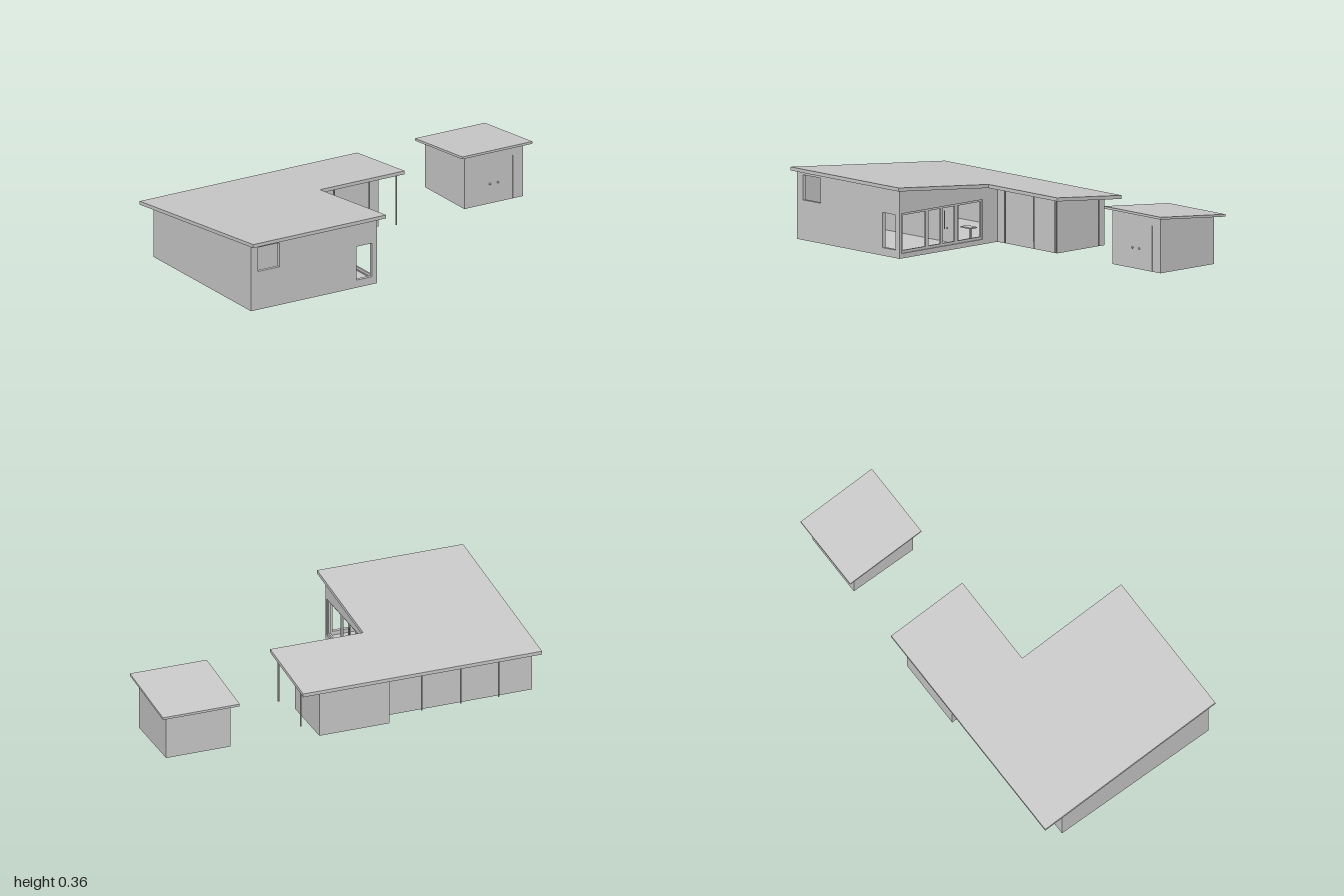
import * as THREE from 'three';

const mat = new THREE.MeshStandardMaterial({ color: 0xcccccc, side: THREE.DoubleSide });

// Roof underside heights as a function of z
const houseTop = z => 0.294 + 0.1 * z;
const shedTop = z => 0.304 + 0.094 * z;

function add(parent, name, geometry) {
  geometry.computeVertexNormals();
  const mesh = new THREE.Mesh(geometry, mat);
  mesh.name = name;
  parent.add(mesh);
  return mesh;
}

// Axis-aligned box given by its limits; top may be a number or a function of z
function block(parent, name, x0, x1, y0, top, z0, z1) {
  const g = new THREE.BoxGeometry(x1 - x0, 1, z1 - z0);
  g.translate((x0 + x1) / 2, 0.5, (z0 + z1) / 2);
  const p = g.attributes.position;
  for (let i = 0; i < p.count; i++) {
    const t = typeof top === 'function' ? top(p.getZ(i)) : top;
    p.setY(i, p.getY(i) > 0.5 ? t : y0);
  }
  return add(parent, name, g);
}

function polygon(points) {
  return new THREE.Shape(points.map(([x, y]) => new THREE.Vector2(x, y)));
}

function rectHole(x0, x1, y0, y1) {
  return polygon([[x0, y0], [x0, y1], [x1, y1], [x1, y0]]);
}

// Plan outline (x, z) extruded upward, then sheared to the roof pitch
function slab(parent, name, plan, base, thickness, slope) {
  const g = new THREE.ExtrudeGeometry(polygon(plan.map(([x, z]) => [x, -z])),
    { depth: thickness, bevelEnabled: false });
  g.rotateX(-Math.PI / 2);
  const p = g.attributes.position;
  for (let i = 0; i < p.count; i++) p.setY(i, p.getY(i) + base + slope * p.getZ(i));
  return add(parent, name, g);
}

// Wall in the z-y plane; shape x runs along -z
function sideWall(parent, name, shape, holes, x, depth) {
  shape.holes.push(...holes.map(([z0, z1, y0, y1]) => rectHole(-z1, -z0, y0, y1)));
  const g = new THREE.ExtrudeGeometry(shape, { depth, bevelEnabled: false });
  g.rotateY(Math.PI / 2);
  g.translate(x, 0, 0);
  return add(parent, name, g);
}

function post(parent, x, z, topFn) {
  const top = topFn(z), g = new THREE.CylinderGeometry(0.004, 0.004, top - 0.02, 8);
  g.translate(x, (top + 0.02) / 2, z);
  add(parent, 'post', g);
}

function knob(parent, x, y, z) {
  add(parent, 'doorKnob', new THREE.SphereGeometry(0.005, 10, 8).translate(x, y, z));
}

function buildHouse() {
  const house = new THREE.Group();
  house.name = 'house';

  // L-shaped roof
  slab(house, 'roof', [[-1, 0.52], [-0.23, 0.52], [-0.23, -0.085], [0.26, -0.085],
    [0.26, -0.52], [-1, -0.52]], 0.292, 0.018, 0.1);

  // Floor and plain walls
  block(house, 'floor', -0.988, -0.262, 0, 0.02, -0.408, 0.483);
  block(house, 'leftOuterWall', -0.99, -0.972, 0, houseTop, -0.41, 0.485);
  block(house, 'backWall', -0.972, -0.2, 0, houseTop, -0.41, -0.392);
  block(house, 'wing', -0.205, 0.165, 0, houseTop, -0.495, -0.175);
  block(house, 'wingLink', -0.262, -0.205, 0, houseTop, -0.392, -0.175);

  // Front wall with a high window and a low window
  const front = polygon([[-0.972, 0], [-0.278, 0], [-0.278, 0.341], [-0.972, 0.341]]);
  front.holes.push(rectHole(-0.95, -0.825, 0.2, 0.325), rectHole(-0.38, -0.29, 0.04, 0.215));
  add(house, 'frontWall', new THREE.ExtrudeGeometry(front, { depth: 0.018, bevelEnabled: false })
    .translate(0, 0, 0.467));

  // Courtyard wall with a long glazed opening
  const zA = 0.485, zB = -0.18;
  sideWall(house, 'courtyardWall',
    polygon([[-zA, 0], [-zB, 0], [-zB, houseTop(zB)], [-zA, houseTop(zA)]]),
    [[-0.075, 0.472, 0.025, 0.223]], -0.278, 0.018);
  sideWall(house, 'glazingFrame',
    polygon([[-0.472, 0.025], [0.075, 0.025], [0.075, 0.223], [-0.472, 0.223]]),
    [[0.305, 0.458, 0.038, 0.213], [0.205, 0.285, 0.038, 0.213],
      [0.108, 0.185, 0.038, 0.213], [-0.065, 0.09, 0.038, 0.213]], -0.275, 0.009);
  block(house, 'doorHandle', -0.266, -0.262, 0.11, 0.2, 0.177, 0.181);
  knob(house, -0.262, 0.112, 0.162);

  // Interior partition with a door, and a small table
  block(house, 'partition', -0.972, -0.3, 0.02, houseTop, 0.05, 0.08);
  block(house, 'innerDoor', -0.965, -0.9, 0.02, 0.27, 0.08, 0.085);
  block(house, 'tableTop', -0.36, -0.29, 0.078, 0.084, -0.065, -0.02);
  block(house, 'tableLeg', -0.33, -0.32, 0.02, 0.078, -0.06, -0.05);

  // Slim posts carrying the overhangs
  for (const [x, z] of [[-0.265, -0.107], [-0.135, -0.107], [0.07, -0.107], [0.225, -0.107],
    [0.225, -0.4], [-0.39, -0.46], [-0.595, -0.46], [-0.795, -0.46]]) post(house, x, z, houseTop);
  return house;
}

function buildShed() {
  const shed = new THREE.Group();
  shed.name = 'shed';
  slab(shed, 'shedRoof', [[0.595, -0.085], [1, -0.085], [1, -0.52], [0.595, -0.52]],
    0.302, 0.012, 0.094);
  block(shed, 'shedBody', 0.625, 0.965, 0.018, shedTop, -0.475, -0.115);
  // Door strip and the pair of knobs
  block(shed, 'doorStrip', 0.905, 0.91, 0.02, 0.245, -0.115, -0.111);
  for (const x of [0.77, 0.817]) knob(shed, x, 0.121, -0.111);
  return shed;
}

export function createModel() {
  const model = new THREE.Group();
  model.name = 'houseWithShed';
  model.add(buildHouse(), buildShed());
  return model;
}
